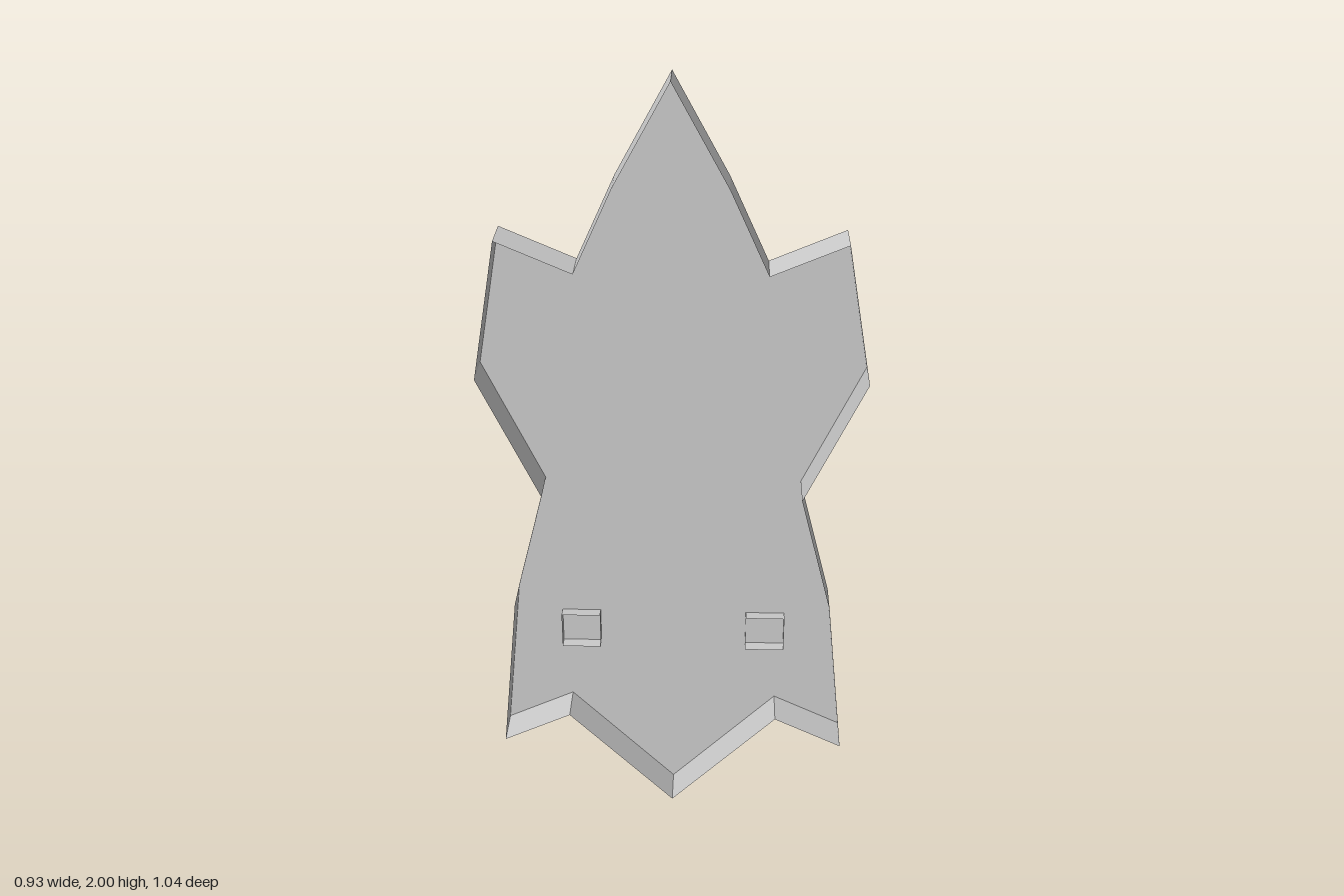
import * as THREE from 'three';

// Sides through matching four-corner rings, open at the start, flat faced
function loft(rings) {
  const pos = [];
  const tri = (...pts) => pts.forEach((p) => pos.push(...p));
  for (let k = 0; k < rings.length - 1; k++) {
    const a = rings[k], b = rings[k + 1];
    for (let i = 0; i < a.length; i++) {
      const j = (i + 1) % a.length;
      tri(a[i], b[i], a[j]);
      tri(a[j], b[i], b[j]);
    }
  }
  const geo = new THREE.BufferGeometry();
  geo.setAttribute('position', new THREE.Float32BufferAttribute(pos, 3));
  geo.computeVertexNormals();
  return geo;
}

// Upright ring at depth z, and level ring at height y
const upright = (z, x0, x1, y0, y1) => [[x0, y0, z], [x1, y0, z], [x1, y1, z], [x0, y1, z]];
const level = (y, x0, x1, z0, z1) => [[x0, y, z0], [x1, y, z0], [x1, y, z1], [x0, y, z1]];
const mirror = (ring) => ring.map(([x, y, z]) => [-x, y, z]).reverse();

export function createModel() {
  const group = new THREE.Group();
  const stone = new THREE.MeshStandardMaterial({ color: 0xcccccc, side: THREE.DoubleSide });
  stone.name = 'grey';
  stone.flatShading = true;
  const add = (name, geo) => {
    const mesh = new THREE.Mesh(geo, stone);
    mesh.name = name;
    group.add(mesh);
    return mesh;
  };

  // Pointed back plate: a sheet with a rim standing forward, open at the front
  const half = [[0.13, 1.76], [0.222, 1.555], [0.4, 1.633], [0.463, 1.283], [0.318, 0.963],
    [0.4, 0.64], [0.447, 0.198], [0.272, 0.285]];
  const outline = [[0, 0], ...half.slice().reverse(), [0, 2], ...half.map(([x, y]) => [-x, y])];
  const shape = new THREE.Shape(outline.map(([x, y]) => new THREE.Vector2(x, y)));
  add('plateSheet', new THREE.ShapeGeometry(shape)).position.z = 0.425;
  add('plateRim', loft([0.52, 0.425].map((z) => outline.map(([x, y]) => [x, y, z]))));

  // Ten-sided bowl with a thin lip, an inner wall, a level floor and a drain hole beneath
  const profile = [[0.037, 0.535], [0.23, 0.57], [0.39, 0.77], [0.438, 0.965],
    [0.463, 0.987], [0.407, 1], [0.372, 0.888], [0, 0.888]];
  add('bowl', new THREE.LatheGeometry(profile.map(([r, y]) => new THREE.Vector2(r, y)), 10))
    .position.z = -0.058;

  // Support arms poking through the sheet, sloping down and bending up to the bowl
  const arm = [upright(0.458, 0.19, 0.29, 0.465, 0.565), upright(0.425, 0.19, 0.29, 0.463, 0.56),
    [[0.205, 0.425, 0.142], [0.275, 0.425, 0.142], [0.275, 0.51, 0.163], [0.205, 0.51, 0.163]],
    level(0.61, 0.11, 0.16, 0.13, 0.185)];
  add('leftArm', loft(arm));
  add('rightArm', loft(arm.map(mirror)));
  return group;
}
